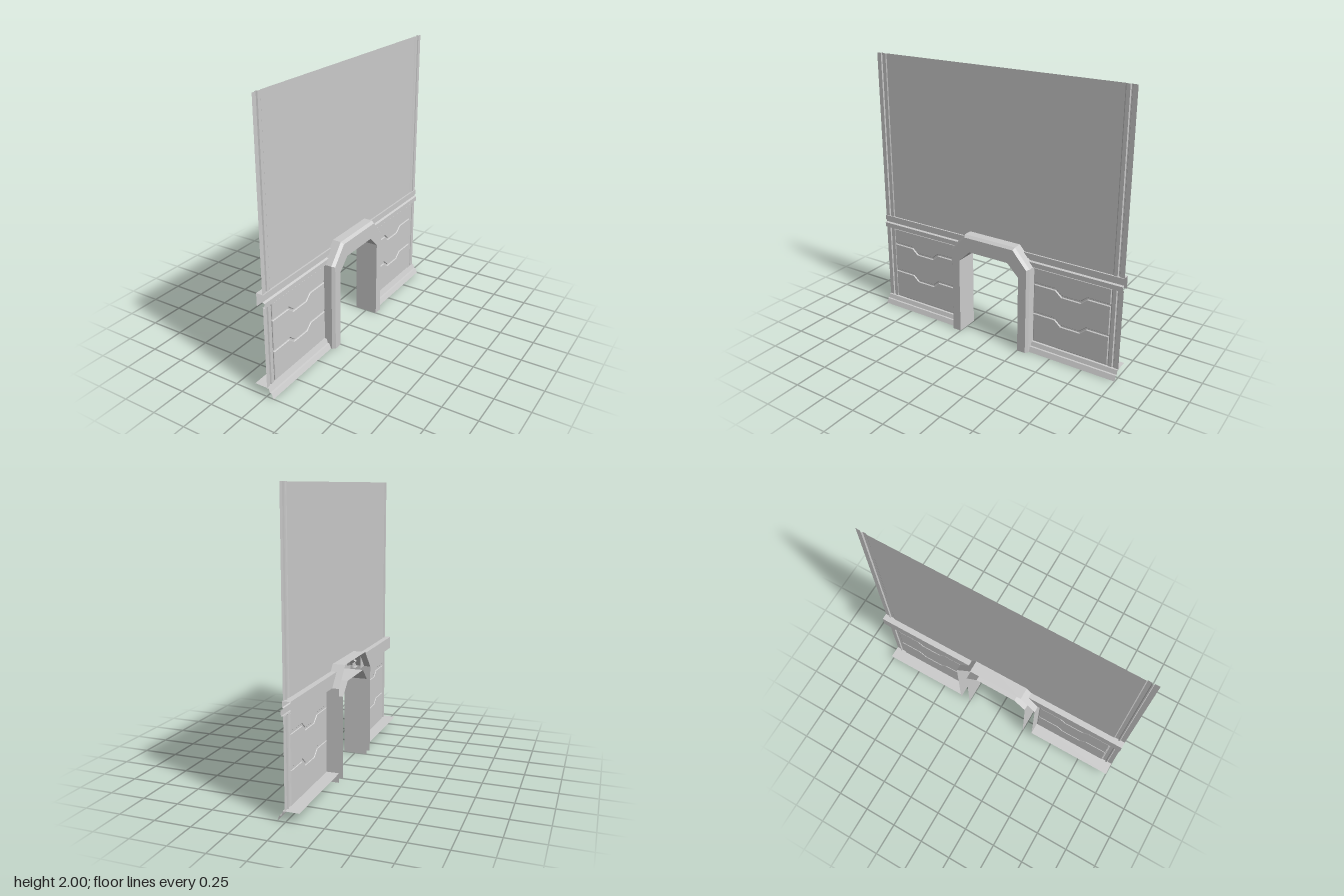
import * as THREE from 'three';

const material = new THREE.MeshStandardMaterial({
  color: 0xcccccc, flatShading: true, side: THREE.DoubleSide,
});

// Open faceted sheet through rows of points
function sheet(name, rows) {
  const pos = [];
  for (let i = 0; i < rows.length - 1; i++) {
    for (let j = 0; j < rows[i].length - 1; j++) {
      const a = rows[i][j], b = rows[i + 1][j], c = rows[i + 1][j + 1], d = rows[i][j + 1];
      pos.push(...a, ...b, ...c, ...a, ...c, ...d);
    }
  }
  const geo = new THREE.BufferGeometry();
  geo.setAttribute('position', new THREE.Float32BufferAttribute(pos, 3));
  geo.computeVertexNormals();
  const mesh = new THREE.Mesh(geo, material);
  mesh.name = name;
  return mesh;
}

// (x, y) profile run along z
const moulding = (name, profile, z0, z1) =>
  sheet(name, profile.map(([x, y]) => [[x, y, z0], [x, y, z1]]));

// (x, z) profile run upwards
const upright = (name, profile, y0, y1) =>
  sheet(name, profile.map(([x, z]) => [[x, y0, z], [x, y1, z]]));

// Lower edge of a panel: flat, with a stepped dip in the middle
const HALF = 0.291;
const notch = (y) => [
  [-HALF, y], [-0.122, y], [-0.073, y - 0.042],
  [0.073, y - 0.042], [0.122, y], [HALF, y],
];
const flat = (y) => [[-HALF, y], [HALF, y]];

function panel(name, bottom, top, z) {
  const outline = [...bottom, ...top.slice().reverse()];
  const shape = new THREE.Shape(outline.map(([u, v]) => new THREE.Vector2(u, v)));
  const geo = new THREE.ExtrudeGeometry(shape, {
    depth: 0.006, bevelEnabled: true, bevelThickness: 0.004,
    bevelSize: 0.004, bevelOffset: -0.004, bevelSegments: 1,
  });
  geo.rotateY(Math.PI / 2);
  const mesh = new THREE.Mesh(geo, material);
  mesh.name = name;
  mesh.position.z = z;
  return mesh;
}

export function createModel() {
  const group = new THREE.Group();

  // Wall sheets with ribbed trim at both ends
  const trim = [
    [0.005, 1], [0.005, 0.967], [-0.004, 0.962], [-0.004, 0.955],
    [0.005, 0.95], [0.005, 0.925], [0, 0.918],
  ];
  const mirrorTrim = trim.map(([x, z]) => [x, -z]).reverse();
  group.add(upright('upperWall', [...trim, ...mirrorTrim], 0.75, 2));
  group.add(upright('lowerWallLeft', [...trim, [0, 0.33]], 0.06, 0.66));
  group.add(upright('lowerWallRight', [[0, -0.33], ...mirrorTrim], 0.06, 0.66));

  // Rail and skirting, open at their ends
  const rail = [
    [-0.042, 0.658], [-0.042, 0.75], [0.012, 0.75], [0.012, 0.712],
    [0.004, 0.708], [0.004, 0.698], [0.02, 0.692], [0.02, 0.658], [0, 0.658],
  ];
  const skirting = [
    [-0.09, 0.068], [0.018, 0.068], [0.028, 0.038], [0.04, 0.036], [0.055, 0],
  ];
  for (const [side, s] of [['Left', 1], ['Right', -1]]) {
    const span = (inner) => (s > 0 ? [1, inner] : [-inner, -1]);
    group.add(moulding('rail' + side, rail, ...span(0.25)));
    group.add(moulding('skirting' + side, skirting, ...span(0.33)));

    // Three interlocking raised panels
    const z = s * 0.626;
    group.add(panel('topPanel' + side, notch(0.539), flat(0.652), z));
    group.add(panel('middlePanel' + side, notch(0.309), notch(0.524), z));
    group.add(panel('bottomPanel' + side, flat(0.076), notch(0.294), z));
  }

  // Doorway frame: outer side, chamfer, front face and inner jamb
  const archRow = (x, half) => [
    ...half.map(([z, y]) => [x, y, z]),
    ...half.map(([z, y]) => [x, y, -z]).reverse(),
  ];
  const outer = [[0.33, 0], [0.33, 0.657], [0.21, 0.793]];
  const chamfer = [[0.314, 0], [0.314, 0.651], [0.203, 0.777]];
  const inner = [[0.25, 0], [0.25, 0.582], [0.16, 0.671]];
  group.add(sheet('doorFrame', [
    archRow(-0.09, outer), archRow(0.064, outer), archRow(0.085, chamfer),
    archRow(0.085, inner), archRow(-0.09, inner),
  ]));

  return group;
}
